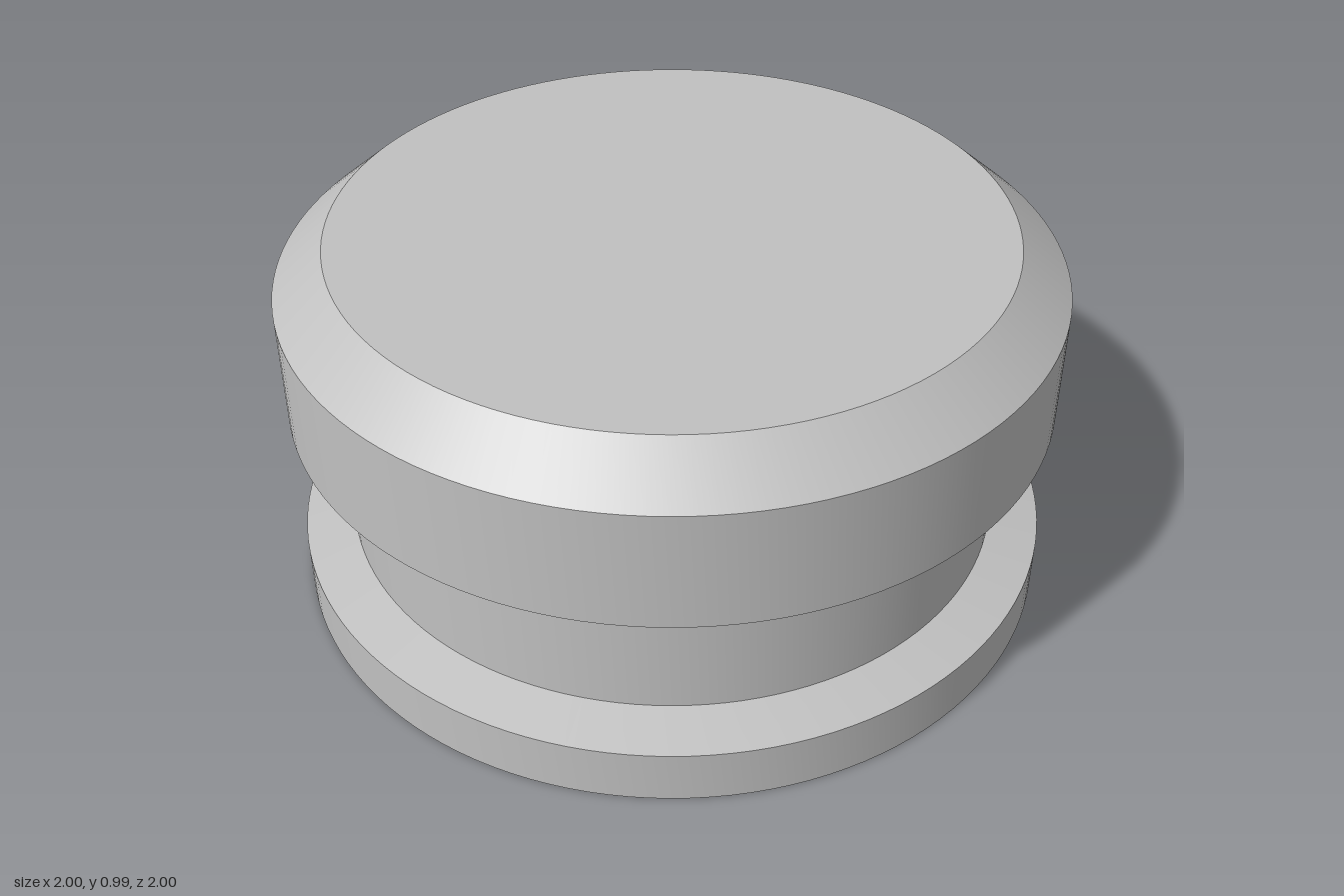
import * as THREE from 'three';
import { toCreasedNormals } from 'three/addons/utils/BufferGeometryUtils.js';

const SEGMENTS = 128;

export function createModel() {
  const group = new THREE.Group();
  const grey = new THREE.MeshStandardMaterial({ color: 0xc0c0c0 });
  grey.name = 'light grey';

  // Turned part from a [radius, height] profile listed bottom to top, with sharp rims
  function turned(name, profile) {
    const points = profile.map(([r, y]) => new THREE.Vector2(r, y));
    const geometry = toCreasedNormals(new THREE.LatheGeometry(points, SEGMENTS), Math.PI / 9);
    const mesh = new THREE.Mesh(geometry, grey);
    mesh.name = name;
    group.add(mesh);
  }

  // Thin foot flange with a gently sloped upper face
  turned('baseFlange', [[0, 0], [1, 0], [1, 0.145], [0.868, 0.175]]);

  // Recessed groove wall
  turned('grooveNeck', [[0.868, 0.175], [0.868, 0.525]]);

  // Thick head with undercut, chamfered rim and flat top
  turned('head', [[0.868, 0.525], [1, 0.555], [1, 0.872], [0.868, 0.985], [0, 0.985]]);

  return group;
}
